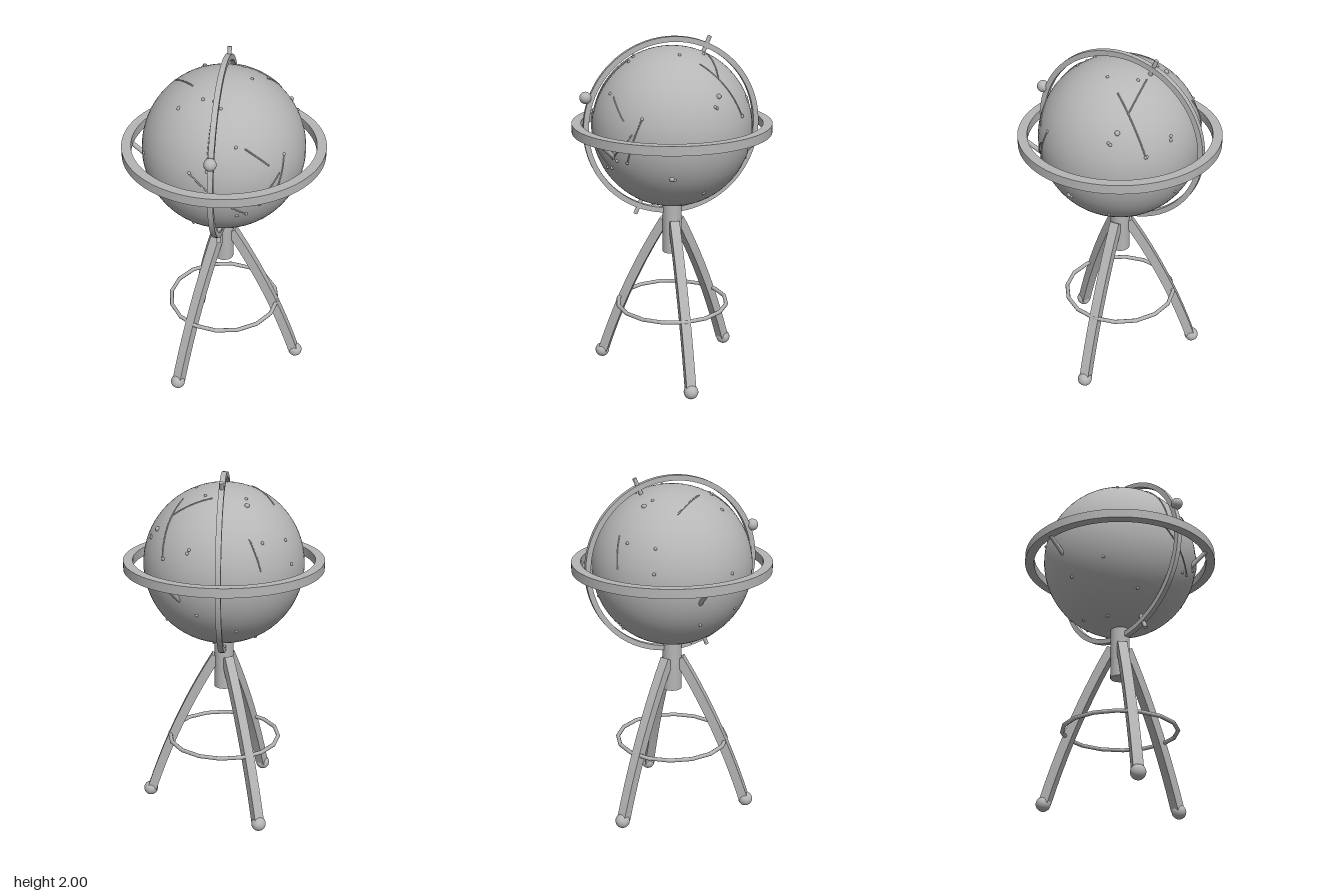
import * as THREE from 'three';

const R = 0.455, CY = 1.492;
const grey = new THREE.MeshStandardMaterial({ color: 0xb6b6b6 });
grey.name = 'plain grey';

function add(parent, geometry, name, x = 0, y = 0, z = 0) {
  const mesh = new THREE.Mesh(geometry, grey);
  mesh.name = name;
  mesh.position.set(x, y, z);
  parent.add(mesh);
  return mesh;
}

// Flat ring with a rectangular section, centred in depth
function flatRing(outer, inner, depth) {
  const shape = new THREE.Shape().absarc(0, 0, outer, 0, Math.PI * 2, false);
  shape.holes.push(new THREE.Path().absarc(0, 0, inner, 0, Math.PI * 2, true));
  return new THREE.ExtrudeGeometry(shape, { depth, bevelEnabled: false, curveSegments: 64 }).translate(0, 0, -depth / 2);
}

// Round rod between two points
function rod(parent, a, b, radius, name) {
  const dir = b.clone().sub(a);
  const mesh = add(parent, new THREE.CylinderGeometry(radius, radius, dir.length(), 12), name);
  mesh.position.copy(a).add(b).multiplyScalar(0.5);
  mesh.quaternion.setFromUnitVectors(new THREE.Vector3(0, 1, 0), dir.normalize());
}

// Bowed leg of square section, lying in the x-y plane
function legGeometry() {
  const curve = new THREE.QuadraticBezierCurve(
    new THREE.Vector2(0.045, 0.93), new THREE.Vector2(0.285, 0.53), new THREE.Vector2(0.44, 0.05));
  const outside = [], inside = [];
  for (let i = 0; i <= 10; i++) {
    const p = curve.getPoint(i / 10), t = curve.getTangent(i / 10);
    const n = new THREE.Vector2(-t.y, t.x).multiplyScalar(0.027);
    outside.push(p.clone().add(n));
    inside.unshift(p.clone().sub(n));
  }
  return new THREE.ExtrudeGeometry(new THREE.Shape([...outside, ...inside]), { depth: 0.056, bevelEnabled: false })
    .translate(0, 0, -0.028);
}

// Third coordinate on the globe from two known ones
const rest = (a, b) => Math.sqrt(Math.max(0, R * R - a * a - b * b));
const onGlobe = (x, y, z) => new THREE.Vector3(x, y, z).setLength(R);

export function createModel() {
  const model = new THREE.Group();
  model.name = 'globeOnStand';

  // Globe with its tilted axis
  const globe = new THREE.Group();
  globe.name = 'globe';
  globe.position.y = CY;
  model.add(globe);
  add(globe, new THREE.SphereGeometry(R, 64, 40), 'globeBall');
  const tip = new THREE.Vector3(0, 0.505, -0.218);
  rod(globe, tip, tip.clone().negate(), 0.012, 'axis');

  // Studs on the globe
  const front = [[-0.21, 0.345], [-0.08, 0.4], [-0.02, 0.4], [0.02, 0.38], [0.117, 0.23], [-0.12, 0.087], [-0.025, 0.11],
    [0.355, 0.135], [0.243, -0.115], [0.3, -0.115], [0.127, -0.18], [0.175, -0.173], [-0.34, -0.183], [-0.127, -0.326],
    [-0.41, 0.04], [-0.386, -0.24], [0.4, -0.2]];
  const side = [[-0.14, 0.187], [-0.32, 0.11], [-0.386, 0.18], [-0.1, -0.31], [-0.3, -0.35], [0.13, -0.43]];
  const top = [[-0.13, -0.16], [0.09, -0.155], [0.15, -0.005], [0.17, -0.39], [0.39, -0.15], [0.31, -0.315],
    [-0.225, -0.335], [-0.345, -0.22], [-0.38, -0.24], [-0.21, 0.215]];
  const below = [[0.122, -0.4], [-0.09, -0.34], [0.046, -0.166], [-0.185, -0.11], [-0.15, 0.06]];
  const small = [
    ...front.map(([x, y]) => onGlobe(x, y, rest(x, y))),
    ...side.map(([z, y]) => onGlobe(rest(z, y), y, z)),
    ...top.map(([x, z]) => onGlobe(x, rest(x, z), z)),
    ...below.map(([x, z]) => onGlobe(x, -rest(x, z), z))];
  const large = [onGlobe(-0.137, 0.38, -0.21), onGlobe(0.35, 0.234, -0.17), onGlobe(0.4, -0.194, 0.1)];
  const smallStud = new THREE.SphereGeometry(0.009, 10, 8), largeStud = new THREE.SphereGeometry(0.014, 10, 8);
  small.forEach(p => add(globe, smallStud, 'stud', p.x, p.y, p.z));
  large.forEach(p => add(globe, largeStud, 'largeStud', p.x, p.y, p.z));

  // Thin raised lines following the globe
  const lines = [
    [[-0.12, 0.087, 0.43], [0.175, -0.173, 0.38]],
    [[0.16, 0.22, 0.365], [0.286, 0.11, 0.335]],
    [[0.355, 0.135, 0.25], [0.3, -0.115, 0.32]],
    [[0.21, -0.115, 0.386], [0.34, 0.05, 0.3]],
    [[-0.025, 0.11, 0.44], [-0.015, 0.38, 0.24]],
    [[0.215, 0.385, -0.1], [0.31, 0.11, -0.315]],
    [[0.05, 0.41, -0.185], [0.27, 0.31, -0.19]],
    [[-0.277, 0.35, -0.073], [-0.15, 0.42, 0.1]],
    [[-0.22, 0.07, -0.39], [-0.155, 0.235, -0.355]]];
  for (const [a, b] of lines) {
    const start = onGlobe(...a), end = onGlobe(...b), points = [];
    for (let i = 0; i <= 8; i++) points.push(start.clone().lerp(end, i / 8).setLength(R + 0.001));
    add(globe, new THREE.TubeGeometry(new THREE.CatmullRomCurve3(points), 16, 0.004, 6), 'surfaceLine');
  }

  // Upright ring with its knob
  add(model, flatRing(0.51, 0.48, 0.03), 'uprightRing', 0, CY, 0).rotation.y = Math.PI / 2;
  add(model, new THREE.SphereGeometry(0.034, 20, 14), 'ringKnob', 0, 1.68, 0.492);

  // Level ring and its three struts
  add(model, flatRing(0.568, 0.515, 0.052), 'levelRing', 0, 1.495, 0).rotation.x = Math.PI / 2;
  for (let i = 0; i < 3; i++) {
    const a = Math.PI + i * Math.PI * 2 / 3, c = Math.cos(a), s = Math.sin(a);
    rod(model, new THREE.Vector3(0.53 * c, 1.475, 0.53 * s), new THREE.Vector3(0.4 * c, 1.36, 0.4 * s), 0.013, 'strut');
  }

  // Post under the globe
  add(model, new THREE.CylinderGeometry(0.056, 0.056, 0.32, 32), 'post', 0, 0.9, 0);

  // Three bowed legs with ball feet
  const legShape = legGeometry();
  for (let i = 0; i < 3; i++) {
    const leg = new THREE.Group();
    leg.name = 'leg';
    leg.rotation.y = i * Math.PI * 2 / 3;
    add(leg, legShape, 'legBeam');
    add(leg, new THREE.SphereGeometry(0.042, 20, 14), 'foot', 0.45, 0.042, 0);
    model.add(leg);
  }

  // Bracing ring between the legs
  add(model, new THREE.TorusGeometry(0.325, 0.012, 8, 16), 'braceRing', 0, 0.42, 0).rotation.x = Math.PI / 2;

  return model;
}
